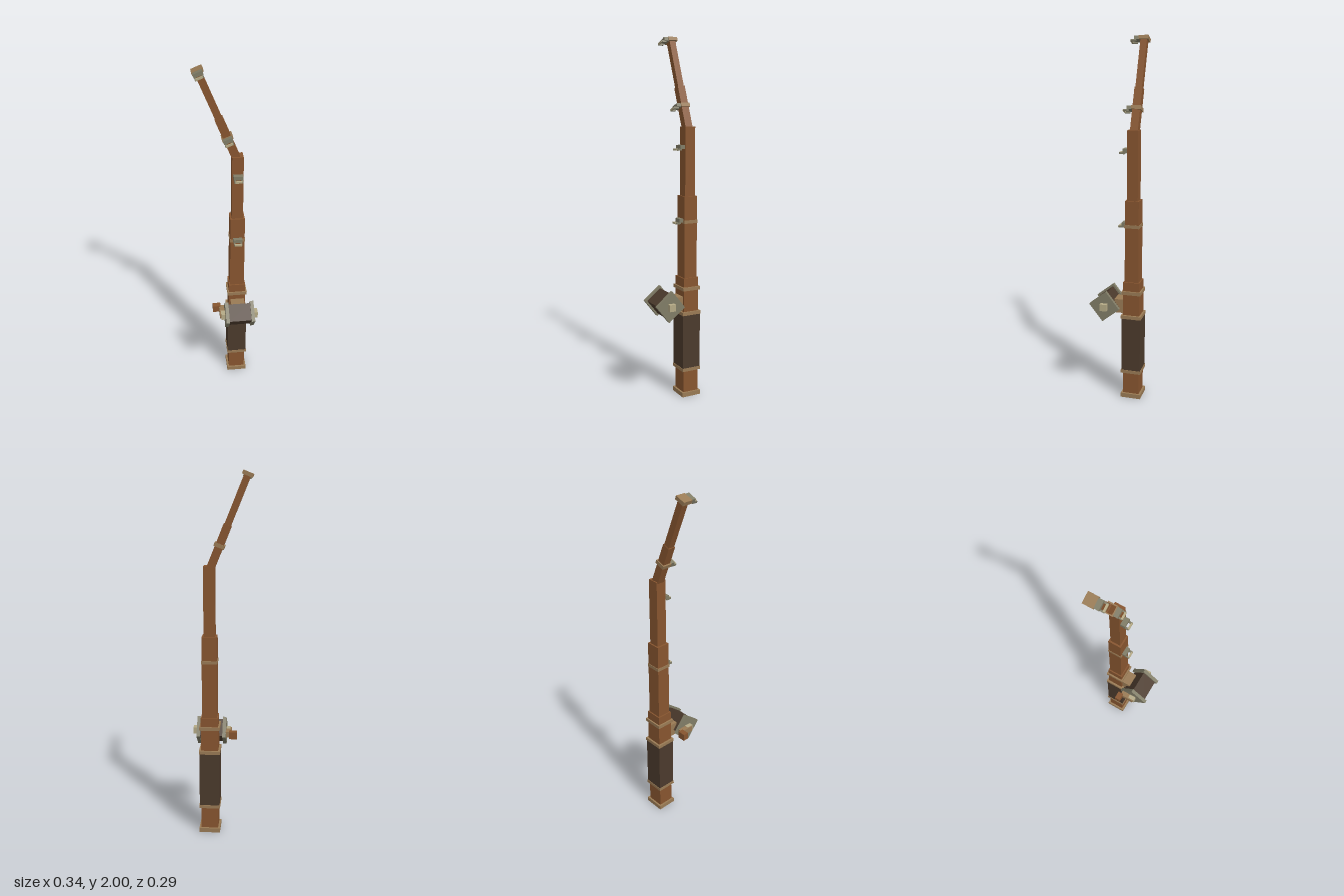
import * as THREE from 'three';

const flat = (name, color) => {
  const m = new THREE.MeshStandardMaterial({ color });
  m.name = name;
  return m;
};

export function createModel() {
  const wood = flat('wood', 0x87552f);
  const tan = flat('tan trim', 0x997a54);
  const dark = flat('dark wrap', 0x4b3a2c);
  const metal = flat('grey metal', 0x807c66);
  const cream = flat('pale metal', 0xb5aa86);

  const box = (parent, name, mat, size, pos) => {
    const mesh = new THREE.Mesh(new THREE.BoxGeometry(...size), mat);
    mesh.name = name;
    mesh.position.set(...pos);
    parent.add(mesh);
    return mesh;
  };
  const group = (parent, name, pos) => {
    const g = new THREE.Group();
    g.name = name;
    g.position.set(...pos);
    parent.add(g);
    return g;
  };

  const model = new THREE.Group();
  model.name = 'fishingRod';

  // Straight rod, stacked from the butt upward: name, material, bottom, top, width, depth
  const rod = group(model, 'rod', [0.06, 0, -0.088]);
  [
    ['buttCap', tan, 0, 0.025, 0.117, 0.113],
    ['butt', wood, 0.025, 0.15, 0.095, 0.091],
    ['lowerGripRing', tan, 0.15, 0.168, 0.117, 0.113],
    ['grip', dark, 0.168, 0.476, 0.111, 0.107],
    ['upperGripRing', tan, 0.476, 0.495, 0.117, 0.113],
    ['reelSeat', wood, 0.495, 0.616, 0.095, 0.091],
    ['reelSeatRing', tan, 0.616, 0.635, 0.113, 0.107],
    ['foregrip', wood, 0.635, 0.686, 0.095, 0.091],
    ['lowerShaft', wood, 0.686, 1.14, 0.081, 0.077],
    ['middleShaft', wood, 1.14, 1.515, 0.061, 0.06],
  ].forEach(([name, mat, y0, y1, w, d]) =>
    box(rod, name, mat, [w, y1 - y0, d], [0, (y0 + y1) / 2, 0]));
  box(rod, 'shaftRing', tan, [0.086, 0.018, 0.083], [0, 1.0, 0]);

  // Line guide: a mount with a small square loop in front; z = 0 is the mount's back
  const lineGuide = (parent, pos) => {
    const g = group(parent, 'lineGuide', pos);
    box(g, 'guideMount', metal, [0.05, 0.02, 0.027], [0, 0, 0.0135]);
    for (const s of [-1, 1])
      box(g, 'guideArm', metal, [0.009, 0.01, 0.03], [s * 0.0185, -0.014, 0.031]);
    box(g, 'guideBar', cream, [0.038, 0.01, 0.01], [0, -0.0135, 0.043]);
  };
  lineGuide(rod, [0, 1.007, 0.034]);
  lineGuide(rod, [0, 1.407, 0.03]);

  // Bent tip
  const tip = group(model, 'bentTip', [0.055, 1.5, -0.09]);
  tip.rotation.z = THREE.MathUtils.degToRad(22);
  box(tip, 'tipLower', wood, [0.043, 0.265, 0.043], [0, 0.1125, 0]);
  box(tip, 'tipUpper', wood, [0.035, 0.27, 0.036], [0, 0.38, 0]);
  for (const y of [0.131, 0.518]) {
    box(tip, 'tipRing', tan, [0.058, 0.02, 0.054], [0, y, 0]);
    lineGuide(tip, [0, y - 0.001, 0.025]);
  }

  // Reel foot
  box(model, 'reelFoot', tan, [0.08, 0.078, 0.06], [0.06, 0.542, -0.02]);

  // Reel drum and end plates, turned on the reel axis
  const reel = group(model, 'reel', [0.061, 0.546, 0.057]);
  const drum = group(reel, 'drum', [0, 0, 0]);
  drum.rotation.x = THREE.MathUtils.degToRad(38.5);
  box(drum, 'spool', dark, [0.13, 0.102, 0.102], [0, 0, 0]);
  for (const s of [-1, 1])
    box(drum, 'endPlate', metal, [0.02, 0.123, 0.123], [s * 0.0735, 0, 0]);
  for (const s of [-1, 1])
    box(reel, 'axleHub', cream, [0.03, 0.038, 0.039], [s * 0.092, 0.001, 0]);

  // Crank
  box(model, 'crankArm', tan, [0.03, 0.034, 0.081], [-0.037, 0.547, 0.0275]);
  box(model, 'crankKnob', wood, [0.045, 0.042, 0.032], [-0.0645, 0.548, -0.016]);

  return model;
}
